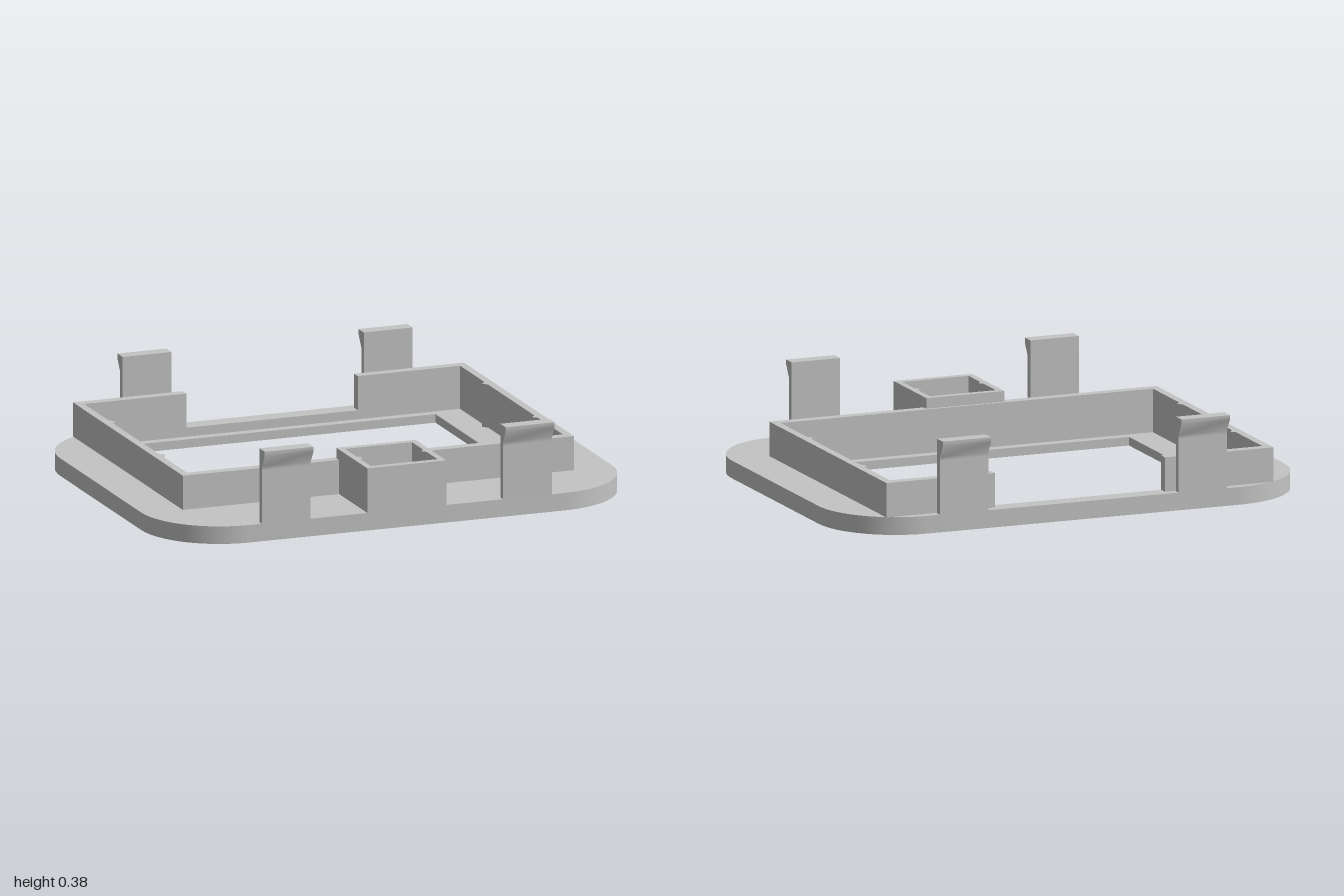
import * as THREE from 'three';
import { toCreasedNormals } from 'three/addons/utils/BufferGeometryUtils.js';

const FLOOR = 0.035; // recessed ledge height
const TOP = 0.072;   // plate top

const toV = ([x, z]) => new THREE.Vector2(x, -z);

// Upright slab with a plan outline in (x, z); outlines run anticlockwise, holes clockwise
function slab(name, outline, holes, y0, y1, material) {
  const shape = new THREE.Shape(outline);
  shape.holes = holes.map((h) => new THREE.Path(h));
  const geo = new THREE.ExtrudeGeometry(shape, { depth: y1 - y0, bevelEnabled: false });
  geo.rotateX(-Math.PI / 2).translate(0, y0, 0);
  const mesh = new THREE.Mesh(toCreasedNormals(geo, 0.5), material);
  mesh.name = name;
  return mesh;
}

// Anticlockwise rectangle in plan
const rect = (x, z0, z1) => [[-x, z1], [x, z1], [x, z0], [-x, z0]].map(toV);

function roundedOutline(x, z, r) {
  const pts = [];
  [[1, 1], [-1, 1], [-1, -1], [1, -1]].forEach(([sx, sy], q) => {
    for (let i = 0; i <= 16; i++) {
      const a = (q + i / 16) * Math.PI / 2;
      pts.push(new THREE.Vector2(sx * (x - r) + r * Math.cos(a), sy * (z - r) + r * Math.sin(a)));
    }
  });
  return pts;
}

// Right-hand inner side of a pocket, with small pointed ribs
const ribbedSide = (x, z0, z1, ribs, d, w) => [
  [x, z0],
  ...ribs.flatMap((z) => [[x, z - w], [x - d, z], [x, z + w]]),
  [x, z1],
];
const mirrored = (side) => side.map(([x, z]) => [-x, z]).reverse();

export function createModel() {
  const group = new THREE.Group();
  const grey = new THREE.MeshStandardMaterial({ color: 0xc4c4c4 });
  grey.name = 'light grey plastic';

  const plate = roundedOutline(1, 0.772, 0.33);
  const frameSide = ribbedSide(0.8, -0.697, 0.423, [-0.41, 0.133], 0.018, 0.02);
  const boxSide = ribbedSide(0.142, 0.463, 0.742, [0.605], 0.016, 0.018);
  const framePocket = [...frameSide, ...mirrored(frameSide)].map(toV);
  const boxPocket = [...boxSide, ...mirrored(boxSide)].map(toV);

  // Face plate: window and button hole below, wider pockets above
  const holeZ = 0.605;
  const circle = new THREE.Path().absarc(0, -holeZ, 0.158, 0, Math.PI * 2).getPoints(24).slice(0, -1);
  group.add(slab('plateFace', plate, [rect(0.68, -0.658, 0.38), circle], 0, FLOOR, grey));
  group.add(slab('plateRim', plate, [framePocket, boxPocket], FLOOR, TOP, grey));

  // Countersunk ring around the button hole
  const ringProfile = [[0.158, FLOOR], [0.129, FLOOR], [0.158, 0]].map((p) => new THREE.Vector2(...p));
  const ring = new THREE.Mesh(
    toCreasedNormals(new THREE.LatheGeometry(ringProfile, 48), 0.5), grey);
  ring.name = 'buttonHoleChamfer';
  ring.position.z = holeZ;
  group.add(ring);

  // Screen frame wall, open in the middle of the back
  const frame = [
    [-0.365, -0.737], [-0.832, -0.737], [-0.832, 0.463], [0.832, 0.463], [0.832, -0.737], [0.365, -0.737],
    [0.365, -0.697], ...frameSide, ...mirrored(frameSide), [-0.365, -0.697],
  ].map(toV);
  group.add(slab('screenFrame', frame, [], TOP, 0.212, grey));

  // Button housing
  group.add(slab('buttonHousing', rect(0.168, 0.435, 0.772), [boxPocket], TOP, 0.255, grey));

  // Four snap clips with hooked heads, softly shaded where the hook flares out
  const clipShape = new THREE.Shape([
    [0.745, TOP], [0.772, TOP], [0.772, 0.29], [0.772, 0.305], [0.802, 0.355], [0.802, 0.375], [0.745, 0.375],
  ].map((p) => new THREE.Vector2(...p)));
  const clipGeo = toCreasedNormals(
    new THREE.ExtrudeGeometry(clipShape, { depth: 0.208, bevelEnabled: false })
      .translate(0, 0, -0.104).rotateY(-Math.PI / 2), 0.8);
  for (const end of ['front', 'back']) {
    for (const side of [1, -1]) {
      const clip = new THREE.Mesh(clipGeo, grey);
      clip.name = end + (side > 0 ? 'Left' : 'Right') + 'Clip';
      clip.position.x = side * 0.513;
      if (end === 'back') clip.rotation.y = Math.PI;
      group.add(clip);
    }
  }
  return group;
}
